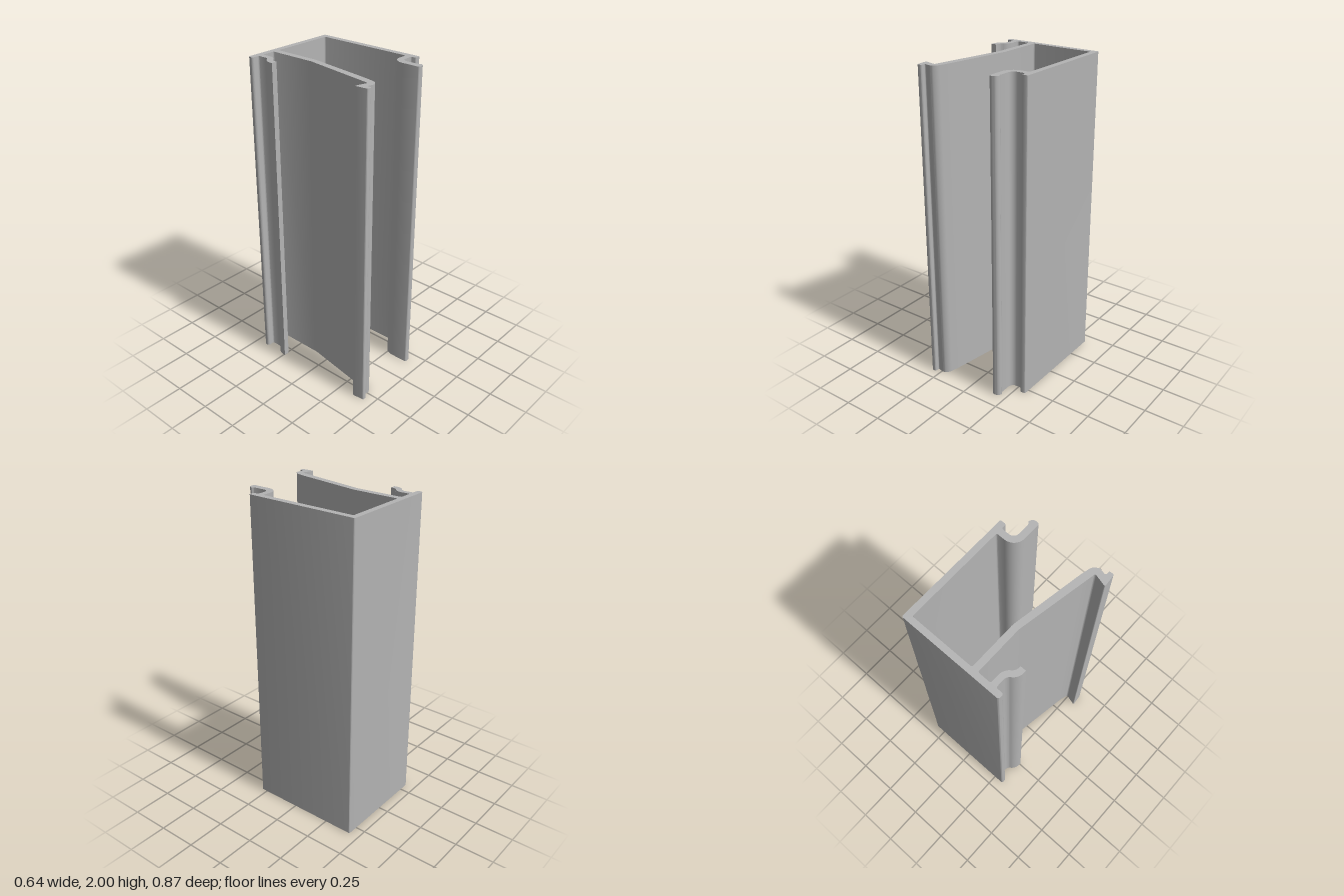
import * as THREE from 'three';
import { toCreasedNormals } from 'three/addons/utils/BufferGeometryUtils.js';

const HEIGHT = 2;

// Plan outline as [x, z, fillet], one run of corners per feature
const backPlate = [[-0.32, -0.436, 0.014], [0.32, -0.436, 0.009]];
const sideWallEnd = [[0.32, 0.29, 0.008], [0.282, 0.29, 0.008], [0.282, 0.257, 0.01]];
const hook = [
  [0.196, 0.257, 0.036], [0.196, 0.37, 0.008], [0.209, 0.378, 0.007],
  [0.195, 0.407, 0.015], [0.155, 0.407, 0.013], [0.155, 0.218, 0.073],
];
const chamber = [[0.282, 0.218, 0.01], [0.282, -0.4, 0.009], [-0.116, -0.4, 0.009]];
const webInnerFace = [[-0.116, -0.105, 0.01], [-0.187, 0.319, 0.015], [-0.209, 0.415, 0.04]];
const foot = [
  [-0.248, 0.415, 0.012], [-0.284, 0.405, 0.011], [-0.284, 0.436, 0.009],
  [-0.314, 0.436, 0.007], [-0.322, 0.354, 0.011], [-0.242, 0.376, 0.009],
];
const webOuterFace = [[-0.224, 0.314, 0.015], [-0.155, -0.105, 0.01], [-0.155, -0.4, 0.009]];
const clip = [
  [-0.237, -0.4, 0.009], [-0.237, -0.306, 0.037], [-0.287, -0.276, 0.024],
  [-0.287, -0.242, 0], [-0.322, -0.242, 0], [-0.322, -0.296, 0.037],
  [-0.272, -0.325, 0.02], [-0.272, -0.4, 0.009], [-0.32, -0.4, 0.012],
];

// Closed shape whose corners are rounded by the given tangent length
function filletedShape(corners) {
  const shape = new THREE.Shape();
  const at = (i) => {
    const [x, z] = corners[(i + corners.length) % corners.length];
    return new THREE.Vector2(x, -z);
  };
  corners.forEach(([, , fillet], i) => {
    const p = at(i);
    const dirIn = at(i - 1).sub(p).normalize();
    const dirOut = at(i + 1).sub(p).normalize();
    const point = (dir, d) => p.clone().addScaledVector(dir, d);
    const start = point(dirIn, fillet);
    if (i === 0) shape.moveTo(start.x, start.y);
    else shape.lineTo(start.x, start.y);
    if (fillet > 0) {
      const c1 = point(dirIn, fillet * 0.45);
      const c2 = point(dirOut, fillet * 0.45);
      const end = point(dirOut, fillet);
      shape.bezierCurveTo(c1.x, c1.y, c2.x, c2.y, end.x, end.y);
    }
  });
  shape.closePath();
  return shape;
}

export function createModel() {
  const group = new THREE.Group();
  group.name = 'extrudedFrameSection';

  const aluminium = new THREE.MeshStandardMaterial({ color: 0xb4b4b4 });
  aluminium.name = 'plain aluminium';

  // One continuous section, extruded upward
  const outline = filletedShape([
    ...backPlate, ...sideWallEnd, ...hook, ...chamber,
    ...webInnerFace, ...foot, ...webOuterFace, ...clip,
  ]);
  const extrusion = new THREE.ExtrudeGeometry(outline, {
    depth: HEIGHT, bevelEnabled: false, curveSegments: 8,
  });
  extrusion.rotateX(-Math.PI / 2);

  const profile = new THREE.Mesh(toCreasedNormals(extrusion, Math.PI / 6), aluminium);
  profile.name = 'profile';
  group.add(profile);
  return group;
}
